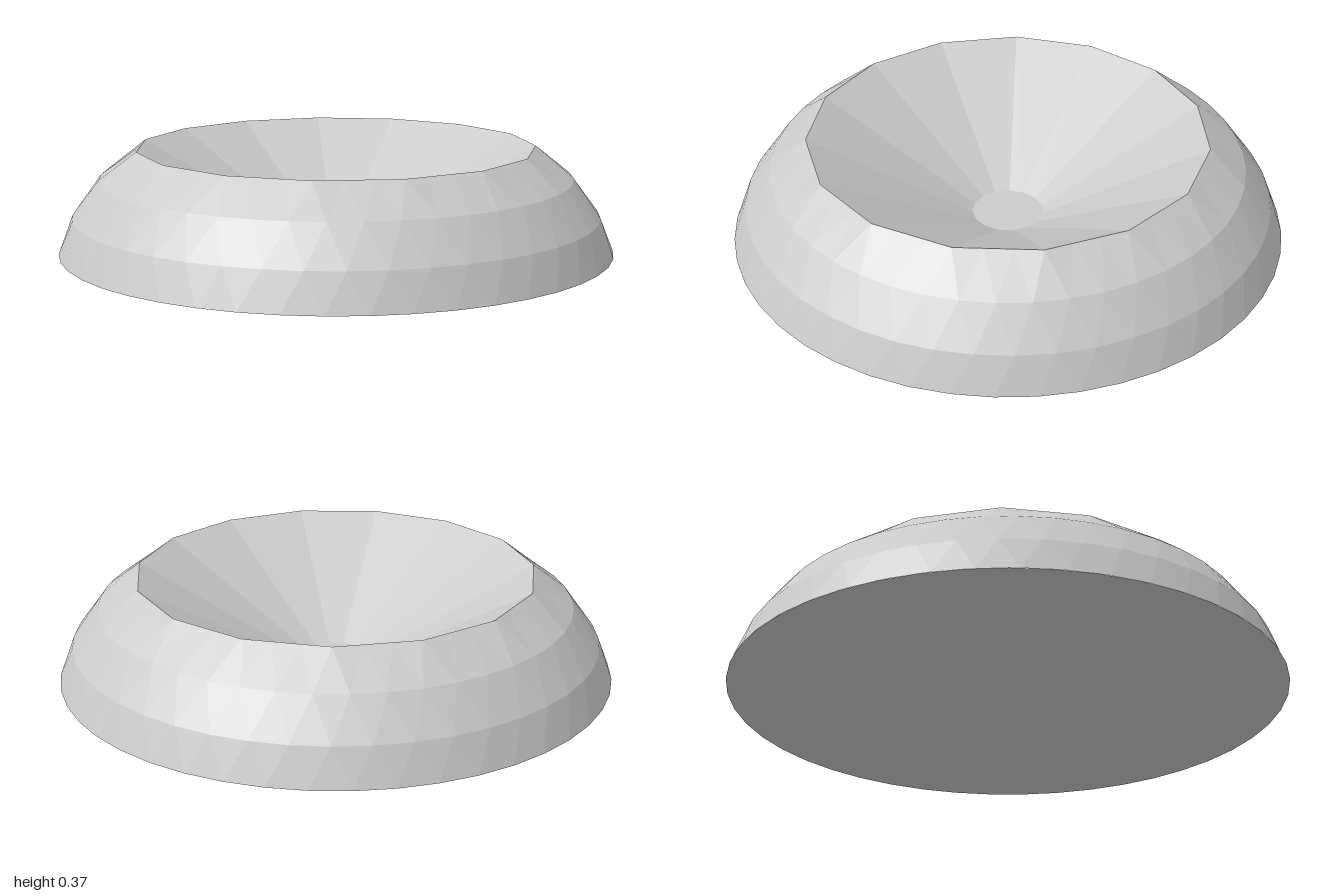
import * as THREE from 'three';

const SIDES = 15;             // facets of the funnel
const STEPS = SIDES * 3;      // facets of the outer dome

const point = (a, r, y) => new THREE.Vector3(Math.sin(a) * r, y, Math.cos(a) * r);

// Ring of points; shift staggers it by a fraction of a step
function ring(n, y, radius, shift = 0) {
  return Array.from({ length: n }, (_, i) => {
    const a = ((i + shift) / n) * Math.PI * 2;
    return point(a, typeof radius === 'function' ? radius(a) : radius, y);
  });
}

// Faceted surface joining successive rings; stagger[k] leans the triangles
function skin(rings, stagger = []) {
  const pts = [];
  for (let k = 0; k < rings.length - 1; k++) {
    const lo = rings[k], hi = rings[k + 1], n = lo.length;
    for (let i = 0; i < n; i++) {
      const j = (i + 1) % n;
      if (stagger[k]) pts.push(lo[i], lo[j], hi[j], lo[i], hi[j], hi[i]);
      else pts.push(lo[i], lo[j], hi[i], lo[j], hi[j], hi[i]);
    }
  }
  const g = new THREE.BufferGeometry().setFromPoints(pts);
  g.computeVertexNormals();
  return g;
}

export function createModel() {
  const group = new THREE.Group();
  const material = new THREE.MeshStandardMaterial({ color: 0xcccccc, flatShading: true });
  const add = (name, geometry) => {
    const mesh = new THREE.Mesh(geometry, material);
    mesh.name = name;
    group.add(mesh);
    return mesh;
  };

  // Rim follows the straight edges of the funnel polygon
  const wedge = (Math.PI * 2) / SIDES;
  const rimRadius = (a) => {
    const local = (a % wedge) - wedge / 2;
    return (0.72 * Math.cos(wedge / 2)) / Math.cos(local);
  };

  // Rounded outer wall with staggered rings
  add('outerWall', skin([
    ring(STEPS, 0, 1, 0.5),
    ring(STEPS, 0.13, 0.95),
    ring(STEPS, 0.265, 0.852, 0.5),
    ring(STEPS, 0.372, rimRadius),
  ], [true, false, true]));

  // Conical hollow and its small flat floor
  add('funnel', skin([ring(SIDES, 0.372, 0.72), ring(SIDES, 0.04, 0.13)]));
  const floor = add('floor', new THREE.CircleGeometry(0.13, SIDES, -Math.PI / 2));
  floor.rotation.x = -Math.PI / 2;
  floor.position.y = 0.04;

  // Flat underside with a central plug
  add('underside', new THREE.RingGeometry(0.2, 1, STEPS)).rotation.x = Math.PI / 2;
  add('basePlug', new THREE.CircleGeometry(0.2, STEPS)).rotation.x = Math.PI / 2;

  return group;
}
